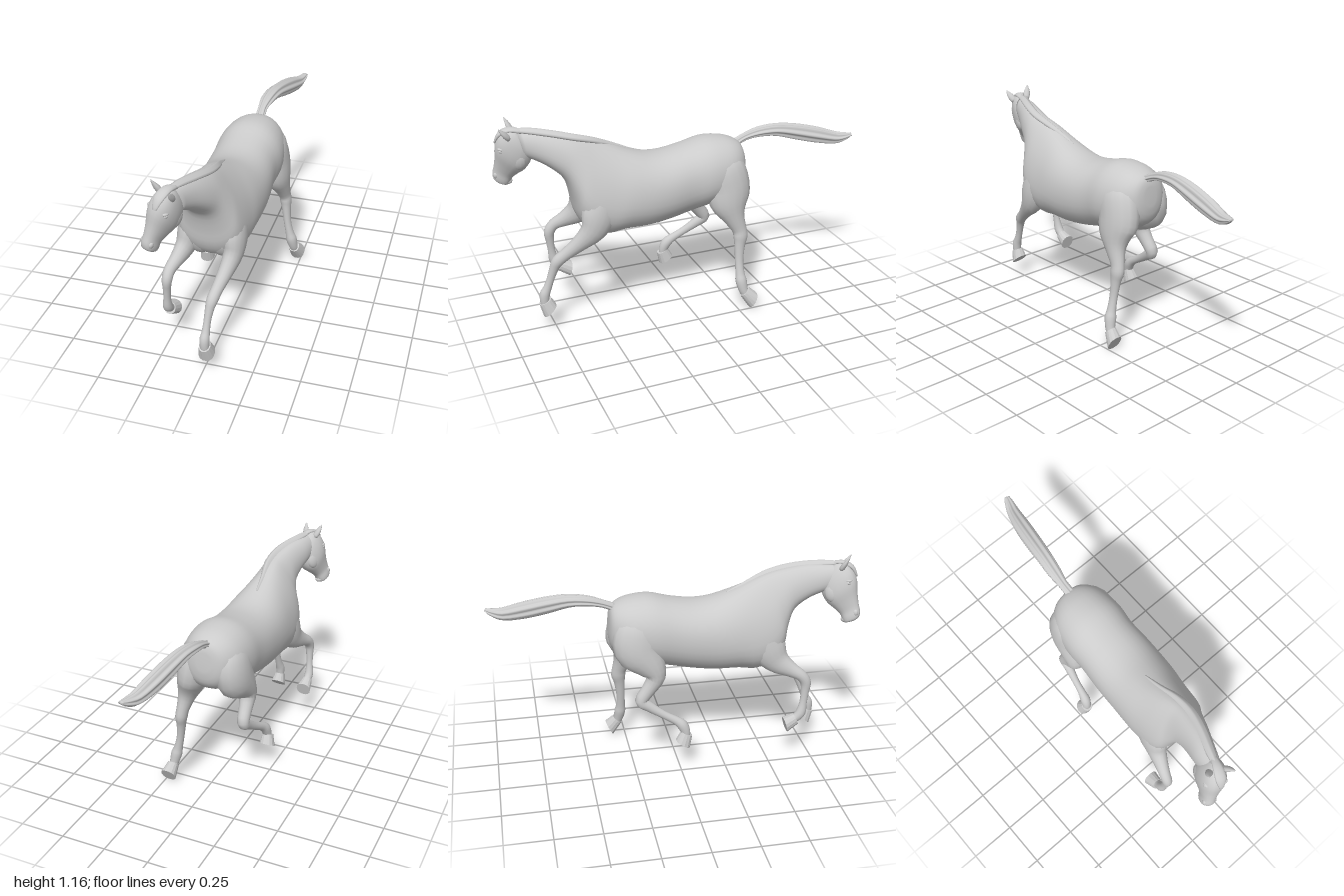
import * as THREE from 'three';

const smoothMat = new THREE.MeshStandardMaterial({ color: 0xcccccc, side: THREE.DoubleSide });
const facetMat = new THREE.MeshStandardMaterial({ color: 0xcccccc, flatShading: true, side: THREE.DoubleSide });
const V = (x, y, z) => new THREE.Vector3(x, y, z);

// Catmull-Rom interpolation of rows of numbers
function refine(rows, n) {
  const out = [], at = i => rows[Math.max(0, Math.min(rows.length - 1, i))];
  for (let i = 0; i < rows.length - 1; i++) {
    for (let k = 0; k < n; k++) {
      const t = k / n, [a, b, c, d] = [at(i - 1), at(i), at(i + 1), at(i + 2)];
      out.push(b.map((_, m) => b[m] + 0.5 * t * (c[m] - a[m] + t * (2 * a[m] - 5 * b[m] + 4 * c[m] - d[m]
        + t * (3 * (b[m] - c[m]) + d[m] - a[m])))));
    }
  }
  out.push(rows[rows.length - 1]);
  return out;
}

// Closed skin over rings { c, side, up, egg }; side x up points along the loft
function skin(name, rings, seg, mat = smoothMat, power = 1, lobes = 0) {
  const pos = [], idx = [];
  const pw = v => Math.sign(v) * Math.abs(v) ** power;
  for (const { c, side, up, egg = 0 } of rings) {
    for (let j = 0; j < seg; j++) {
      const a = j / seg * Math.PI * 2, r = 1 + (lobes ? 0.13 * Math.cos(lobes * a) : 0);
      const p = c.clone().addScaledVector(side, r * pw(Math.cos(a)) * (1 - egg * Math.sin(a)))
        .addScaledVector(up, r * pw(Math.sin(a)));
      pos.push(p.x, p.y, p.z);
    }
  }
  const last = rings.length - 1, start = pos.length / 3;
  for (const r of [rings[0], rings[last]]) pos.push(r.c.x, r.c.y, r.c.z);
  for (let j = 0; j < seg; j++) {
    const k = (j + 1) % seg;
    for (let i = 0; i < last; i++) {
      const a = i * seg + j, b = i * seg + k;
      idx.push(a, b, a + seg, b, b + seg, a + seg);
    }
    idx.push(start, k, j, start + 1, last * seg + j, last * seg + k);
  }
  const g = new THREE.BufferGeometry();
  g.setAttribute('position', new THREE.Float32BufferAttribute(pos, 3));
  g.setIndex(idx);
  g.computeVertexNormals();
  const mesh = new THREE.Mesh(g, mat);
  mesh.name = name;
  return mesh;
}

// Rows: [upper z, upper y, lower z, lower y, centre x, half width, egg]
const profile = (rows, n) => refine(rows, n).map(([tz, ty, bz, by, x, w, egg]) => ({
  c: V(x, (ty + by) / 2, (tz + bz) / 2), side: V(w, 0, 0),
  up: V(0, (ty - by) / 2, (tz - bz) / 2), egg,
}));

// Rows: [x, y, z, side radius, depth radius], rings square to the path
function limb(rows, n) {
  const r = refine(rows, n);
  return r.map(([x, y, z, rs, rd], i) => {
    const a = r[Math.max(0, i - 1)], b = r[Math.min(r.length - 1, i + 1)];
    const t = V(b[0] - a[0], b[1] - a[1], b[2] - a[2]).normalize();
    const side = V(1, 0, 0).addScaledVector(t, -t.x).normalize();
    return { c: V(x, y, z), up: t.clone().cross(side).multiplyScalar(rd), side: side.multiplyScalar(rs) };
  });
}

function ball(name, p, s) {
  const m = new THREE.Mesh(new THREE.SphereGeometry(1, 14, 10), smoothMat);
  m.name = name;
  m.position.set(...p);
  m.scale.set(...s);
  return m;
}

// Leg with a flat-soled hoof: coronet and sole given as [front z, y, back z, y, x]
function leg(name, rows, coronet, sole) {
  const g = new THREE.Group();
  g.name = name;
  g.add(skin(name + 'Limb', limb(rows, 3), 16));
  g.add(skin(name + 'Hoof', profile([[...coronet, 0.03, 0], [...sole, 0.043, 0]], 1), 14, facetMat, 0.9));
  return g;
}

function makeHead() {
  const g = new THREE.Group();
  g.name = 'head';
  g.add(skin('skull', profile([
    [0.0, 0.045, -0.06, -0.01, 0, 0.025, 0],
    [0.05, 0.045, -0.08, -0.07, 0, 0.052, 0],
    [0.09, 0.005, -0.075, -0.125, 0, 0.066, 0],
    [0.11, -0.05, -0.05, -0.17, 0, 0.066, 0.05],
    [0.113, -0.12, -0.01, -0.205, 0, 0.05, 0.05],
    [0.12, -0.18, 0.02, -0.235, 0, 0.038, 0],
    [0.128, -0.22, 0.032, -0.262, 0, 0.038, 0],
    [0.122, -0.25, 0.042, -0.28, 0, 0.034, 0],
    [0.105, -0.265, 0.06, -0.28, 0, 0.022, 0],
  ], 3), 20, smoothMat, 0.88));
  for (const s of [-1, 1]) {
    // Ears lean forward and outward
    g.add(skin(s > 0 ? 'leftEar' : 'rightEar', limb([
      [s * 0.036, 0.015, 0.03, 0.018, 0.014], [s * 0.048, 0.037, 0.045, 0.02, 0.014],
      [s * 0.058, 0.058, 0.06, 0.013, 0.009], [s * 0.065, 0.078, 0.075, 0.002, 0.002]], 2), 10));
    g.add(ball('eye', [s * 0.053, -0.058, 0.066], [0.008, 0.009, 0.014]));
    g.add(ball('brow', [s * 0.049, -0.046, 0.066], [0.012, 0.008, 0.022]));
    g.add(ball('cheek', [s * 0.04, -0.11, -0.015], [0.026, 0.055, 0.045]));
    g.add(ball('nostril', [s * 0.027, -0.222, 0.104], [0.011, 0.018, 0.014]));
  }
  // Lower lip and forelock
  g.add(ball('chin', [0, -0.264, 0.05], [0.024, 0.018, 0.026]));
  g.add(skin('forelock', limb([
    [0, 0.04, -0.03, 0.015, 0.012], [0, 0.047, 0.03, 0.026, 0.012],
    [0.005, 0.02, 0.083, 0.028, 0.012], [0.012, -0.03, 0.108, 0.012, 0.005]], 3), 12));
  g.position.set(-0.112, 1.07, 0.87);
  g.rotation.set(0, -0.43, -0.2, 'ZYX');
  return g;
}

export function createModel() {
  const horse = new THREE.Group();
  horse.name = 'horse';

  // Trunk and neck in one skin, rump to throat
  horse.add(skin('bodyAndNeck', profile([
    [-0.352, 0.875, -0.36, 0.77, -0.01, 0.04, 0],
    [-0.338, 0.92, -0.35, 0.7, -0.01, 0.095, 0],
    [-0.295, 0.948, -0.31, 0.65, -0.01, 0.14, 0],
    [-0.23, 0.967, -0.24, 0.62, -0.012, 0.172, 0.05],
    [-0.13, 0.972, -0.12, 0.59, -0.014, 0.186, 0.05],
    [-0.02, 0.945, -0.02, 0.565, -0.018, 0.18, 0],
    [0.1, 0.925, 0.1, 0.54, -0.018, 0.187, 0],
    [0.2, 0.932, 0.22, 0.525, -0.02, 0.188, 0.05],
    [0.3, 0.965, 0.35, 0.525, -0.025, 0.184, 0.15],
    [0.38, 1.0, 0.45, 0.515, -0.03, 0.175, 0.25],
    [0.45, 1.03, 0.55, 0.56, -0.033, 0.162, 0.34],
    [0.5, 1.048, 0.6, 0.64, -0.033, 0.143, 0.38],
    [0.55, 1.062, 0.618, 0.735, -0.033, 0.117, 0.34],
    [0.62, 1.08, 0.65, 0.84, -0.042, 0.092, 0.22],
    [0.7, 1.098, 0.715, 0.905, -0.062, 0.077, 0.2],
    [0.78, 1.107, 0.78, 0.945, -0.088, 0.066, 0.15],
    [0.87, 1.107, 0.84, 0.97, -0.11, 0.052, 0.1],
  ], 3), 32, smoothMat, 0.92));

  // Broad breast muscles, sunk into the chest
  for (const s of [-1, 1]) horse.add(ball('breast', [-0.033 + s * 0.058, 0.675, 0.495], [0.085, 0.145, 0.1]));
  horse.add(makeHead());

  // Mane along the crest
  horse.add(skin('mane', limb([
    [-0.03, 0.96, 0.29, 0.004, 0.004], [-0.022, 1.002, 0.4, 0.013, 0.013],
    [-0.008, 1.04, 0.5, 0.019, 0.018], [-0.012, 1.067, 0.6, 0.023, 0.02],
    [-0.04, 1.09, 0.7, 0.024, 0.02], [-0.08, 1.105, 0.8, 0.022, 0.019],
    [-0.11, 1.112, 0.88, 0.015, 0.012]], 3), 16, smoothMat, 1, 4));

  // Tail streaming behind, with locks of hair and a blunt end
  horse.add(skin('tail', limb([
    [-0.01, 0.912, -0.32, 0.026, 0.02], [-0.012, 0.938, -0.38, 0.024, 0.019],
    [-0.006, 0.958, -0.46, 0.034, 0.025], [0.008, 0.961, -0.56, 0.038, 0.032],
    [0.025, 0.94, -0.67, 0.041, 0.041], [0.046, 0.912, -0.79, 0.041, 0.042],
    [0.07, 0.888, -0.9, 0.033, 0.033], [0.088, 0.894, -0.96, 0.024, 0.02],
    [0.1, 0.906, -0.997, 0.013, 0.007]], 3), 42, smoothMat, 1, 7));

  // Front legs: left reaching, right folded
  horse.add(leg('leftFrontLeg', [
    [0.055, 0.86, 0.42, 0.03, 0.05], [0.068, 0.77, 0.46, 0.062, 0.09],
    [0.082, 0.66, 0.5, 0.066, 0.1], [0.087, 0.575, 0.54, 0.051, 0.072],
    [0.067, 0.505, 0.61, 0.039, 0.046], [0.044, 0.445, 0.68, 0.031, 0.034],
    [0.031, 0.405, 0.725, 0.03, 0.033], [0.023, 0.365, 0.745, 0.024, 0.026],
    [0.016, 0.3, 0.767, 0.019, 0.021], [0.013, 0.245, 0.787, 0.021, 0.023],
    [0.011, 0.21, 0.803, 0.026, 0.028], [0.011, 0.165, 0.806, 0.024, 0.025],
    [0.012, 0.14, 0.802, 0.022, 0.022]],
    [0.836, 0.152, 0.77, 0.184, 0.011], [0.816, 0.078, 0.745, 0.142, 0.013]));
  horse.add(leg('rightFrontLeg', [
    [-0.115, 0.86, 0.42, 0.03, 0.05], [-0.133, 0.77, 0.46, 0.062, 0.09],
    [-0.147, 0.66, 0.5, 0.066, 0.1], [-0.163, 0.585, 0.55, 0.051, 0.072],
    [-0.188, 0.54, 0.62, 0.037, 0.044], [-0.208, 0.508, 0.675, 0.03, 0.032],
    [-0.214, 0.465, 0.703, 0.027, 0.03], [-0.218, 0.41, 0.701, 0.021, 0.023],
    [-0.222, 0.345, 0.694, 0.019, 0.021], [-0.226, 0.285, 0.682, 0.025, 0.028],
    [-0.225, 0.255, 0.657, 0.024, 0.025], [-0.225, 0.243, 0.635, 0.022, 0.022]],
    [0.668, 0.217, 0.64, 0.277, -0.225], [0.604, 0.174, 0.583, 0.256, -0.224]));

  // Hind legs: left pushing off, right swinging forward
  horse.add(leg('leftHindLeg', [
    [0.055, 0.9, -0.18, 0.04, 0.06], [0.077, 0.82, -0.2, 0.085, 0.125],
    [0.095, 0.71, -0.23, 0.09, 0.13], [0.119, 0.62, -0.232, 0.074, 0.112],
    [0.14, 0.54, -0.252, 0.049, 0.064], [0.153, 0.465, -0.281, 0.034, 0.042],
    [0.16, 0.42, -0.287, 0.033, 0.041], [0.165, 0.37, -0.281, 0.026, 0.031],
    [0.175, 0.28, -0.275, 0.021, 0.024], [0.19, 0.205, -0.275, 0.024, 0.026],
    [0.2, 0.165, -0.278, 0.031, 0.032], [0.211, 0.11, -0.288, 0.026, 0.027],
    [0.216, 0.08, -0.302, 0.023, 0.023]],
    [-0.268, 0.079, -0.318, 0.122, 0.215], [-0.318, 0.001, -0.362, 0.084, 0.226]));
  horse.add(leg('rightHindLeg', [
    [-0.08, 0.9, -0.18, 0.04, 0.06], [-0.102, 0.82, -0.2, 0.085, 0.125],
    [-0.118, 0.71, -0.21, 0.092, 0.135], [-0.143, 0.625, -0.155, 0.072, 0.09],
    [-0.16, 0.555, -0.125, 0.05, 0.054], [-0.167, 0.485, -0.165, 0.037, 0.039],
    [-0.172, 0.42, -0.208, 0.033, 0.035], [-0.18, 0.385, -0.167, 0.026, 0.029],
    [-0.195, 0.335, -0.09, 0.02, 0.022], [-0.205, 0.298, -0.025, 0.022, 0.024],
    [-0.212, 0.27, 0.01, 0.028, 0.03], [-0.218, 0.23, 0.028, 0.025, 0.026],
    [-0.22, 0.2, 0.03, 0.022, 0.022]],
    [0.064, 0.205, 0.004, 0.235, -0.22], [0.05, 0.138, -0.027, 0.185, -0.226]));
  return horse;
}
